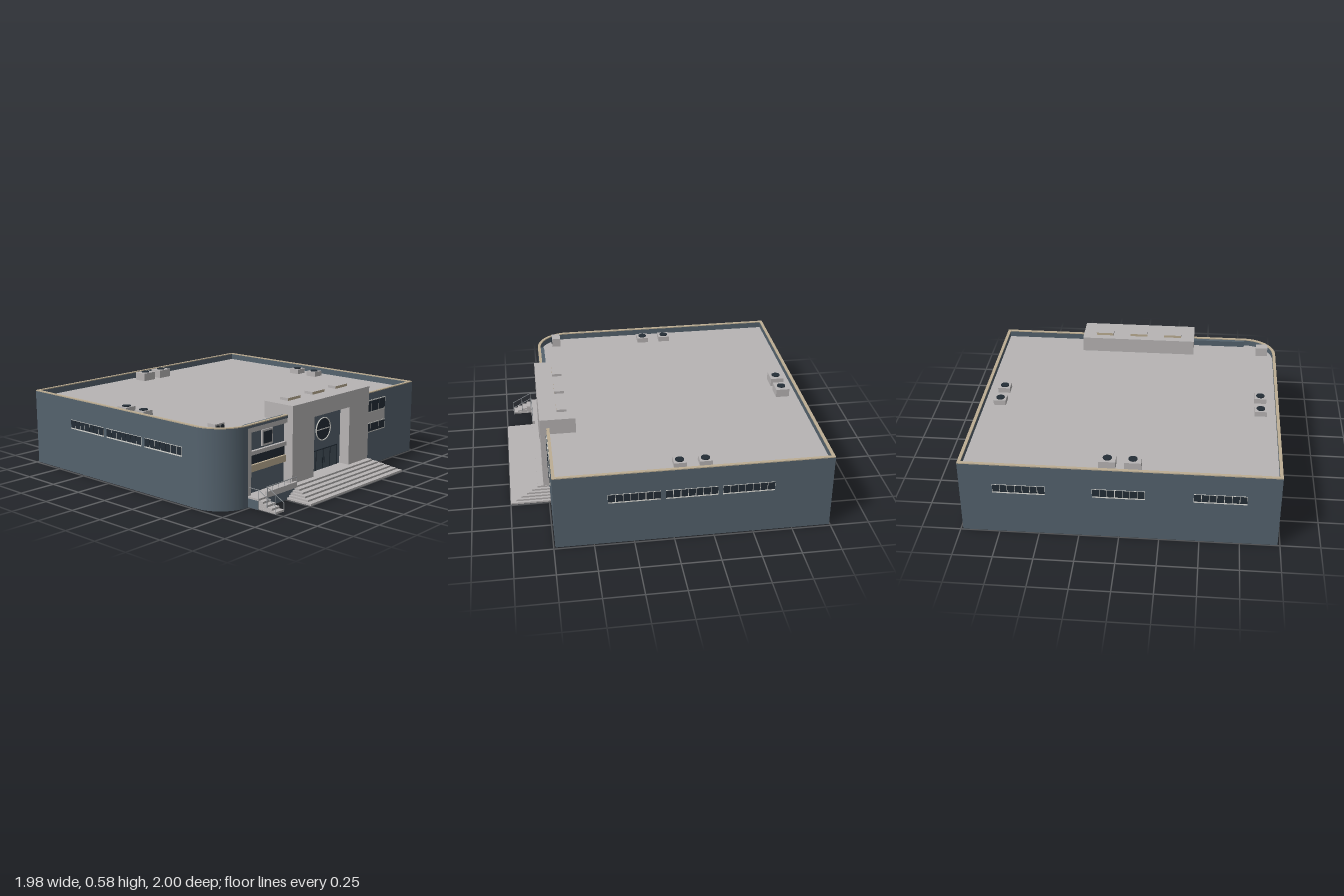
import * as THREE from 'three';
import { toCreasedNormals } from 'three/addons/utils/BufferGeometryUtils.js';

const mat = (name, color) => {
  const m = new THREE.MeshStandardMaterial({ color });
  m.name = name;
  return m;
};

export function createModel() {
  const wall = mat('slate wall', 0x54626d);
  const stone = mat('grey stone', 0xb7b4b4);
  const tan = mat('tan trim', 0xbcad93);
  const glass = mat('dark glass', 0x232d36);
  const frame = mat('pale frame', 0xd3d3ce);
  const doorMat = mat('door panel', 0x46535e);
  const metal = mat('rail metal', 0x8c9094);

  const model = new THREE.Group();
  model.name = 'civicBuilding';

  const add = (name, geo, m, parent = model) => {
    const mesh = new THREE.Mesh(geo, m);
    mesh.name = name;
    parent.add(mesh);
    return mesh;
  };
  // Box given by its min and max corners
  const box = (name, m, x0, x1, y0, y1, z0, z1, parent = model) => {
    const mesh = add(name, new THREE.BoxGeometry(x1 - x0, y1 - y0, z1 - z0), m, parent);
    mesh.position.set((x0 + x1) / 2, (y0 + y1) / 2, (z0 + z1) / 2);
    return mesh;
  };
  const bar = (name, m, a, b, r, parent = model) => {
    const p = new THREE.Vector3(...a), d = new THREE.Vector3(...b).sub(p);
    const mesh = add(name, new THREE.CylinderGeometry(r, r, d.length(), 6), m, parent);
    mesh.position.copy(p).addScaledVector(d, 0.5);
    mesh.quaternion.setFromUnitVectors(new THREE.Vector3(0, 1, 0), d.normalize());
    return mesh;
  };
  const extrudeUp = (shape, y0, y1) => {
    const g = new THREE.ExtrudeGeometry(shape, { depth: y1 - y0, bevelEnabled: false, curveSegments: 20 });
    g.rotateX(-Math.PI / 2).translate(0, y0, 0);
    return toCreasedNormals(g, 0.4);
  };

  // Outer walls: a plan band with one rounded front corner (shape y = -z)
  const X = 0.985, F = 0.74, B = 0.995, R = 0.22, cx = -X + R, cy = -F + R;
  const outline = (s, t, start) => {
    s.moveTo(start, -F + t);
    s.lineTo(X - t, -F + t);
    s.lineTo(X - t, B - t);
    s.lineTo(-X + t, B - t);
    s.lineTo(-X + t, cy);
    s.absarc(cx, cy, R - t, Math.PI, Math.PI * 1.5, false);
    return s;
  };
  const band = (t) => {
    const s = outline(new THREE.Shape(), 0, 0.39);
    s.lineTo(cx, -F + t);
    s.absarc(cx, cy, R - t, Math.PI * 1.5, Math.PI, true);
    s.lineTo(-X + t, B - t);
    s.lineTo(X - t, B - t);
    s.lineTo(X - t, -F + t);
    s.lineTo(0.39, -F + t);
    return s;
  };
  add('outerWalls', extrudeUp(band(0.018), 0, 0.5), wall);
  add('parapetCap', extrudeUp(band(0.02), 0.5, 0.506), tan);
  add('roof', extrudeUp(outline(new THREE.Shape(), 0.015, 0.39), 0.45, 0.46), stone);

  // Strip windows on the sides and the back, with inner boxes behind them
  const stripWindow = (x, z, turn) => {
    const g = new THREE.Group();
    g.name = 'stripWindow';
    const w = 0.325, n = 7, pitch = w / n;
    box('windowFrame', frame, -w / 2, w / 2, -0.03, 0.03, -0.004, 0.002, g);
    for (let i = 0; i < n; i++) {
      const a = -w / 2 + i * pitch;
      box('pane', glass, a + 0.002, a + pitch - 0.002, -0.023, 0.027, -0.002, 0.004, g);
    }
    box('sill', frame, -w / 2, w / 2, -0.031, -0.025, 0, 0.005, g);
    box('innerBox', stone, -w / 2 + 0.003, w / 2 - 0.003, -0.07, 0.06, -0.1, -0.012, g);
    g.position.set(x, 0.33, z);
    g.rotation.y = turn;
    model.add(g);
  };
  for (const z of [0.247, -0.107, -0.462]) {
    stripWindow(X, z, Math.PI / 2);
    stripWindow(-X, z, -Math.PI / 2);
  }
  for (const x of [-0.62, 0, 0.615]) stripWindow(x, -B, Math.PI);

  // Entrance block with its recessed opening
  const portal = new THREE.Group();
  portal.name = 'entranceBlock';
  model.add(portal);
  for (const s of [-1, 1]) {
    box('pillar', stone, s < 0 ? -0.4 : 0.185, s < 0 ? -0.185 : 0.4, 0, 0.46, 0.66, 0.78, portal);
  }
  box('entranceTop', stone, -0.4, 0.4, 0.46, 0.565, 0.55, 0.78, portal);
  box('entranceWall', wall, -0.185, 0.185, 0, 0.46, 0.68, 0.705, portal);
  for (const x of [-0.245, 0, 0.245]) {
    box('skylight', [stone, stone, stone, stone, tan, tan], x - 0.062, x + 0.062, 0.565, 0.582, 0.6, 0.665, portal);
  }

  // Doors
  box('doors', doorMat, -0.148, 0.148, 0.07, 0.205, 0.703, 0.708, portal);
  for (const x of [-0.148, -0.074, 0, 0.074, 0.148]) {
    box('doorPost', glass, x - 0.003, x + 0.003, 0.07, 0.205, 0.704, 0.711, portal);
  }
  box('doorHead', glass, -0.15, 0.15, 0.201, 0.207, 0.704, 0.711, portal);
  for (const x of [-0.01, 0.01]) box('doorHandle', glass, x - 0.002, x + 0.002, 0.11, 0.15, 0.707, 0.714, portal);

  // Round window
  const disc = add('roundGlass', new THREE.CylinderGeometry(0.073, 0.073, 0.006, 40), glass, portal);
  disc.rotation.x = Math.PI / 2;
  disc.position.set(0, 0.337, 0.706);
  add('roundFrame', new THREE.TorusGeometry(0.074, 0.004, 6, 40), frame, portal).position.set(0, 0.337, 0.709);
  box('roundBar', frame, -0.073, 0.073, 0.334, 0.34, 0.706, 0.711, portal);

  // Main stair, narrowing as it rises
  const steps = 6;
  for (let i = 0; i < steps; i++) {
    const w = 0.492 - i * 0.018, h = 0.07 / steps;
    box('mainStep', stone, -w, w, i * h, (i + 1) * h, 0.69, 1 - i * 0.036);
  }

  // Front windows beside the entrance
  const bay = new THREE.Group();
  bay.name = 'frontWindows';
  model.add(bay);
  box('bayPanel', stone, 0.39, 0.648, 0.228, 0.452, 0.735, 0.742, bay);
  for (const [y0, y1] of [[0.375, 0.447], [0.237, 0.29]]) {
    box('bayFrame', frame, 0.39, 0.648, y0 - 0.006, y1 + 0.006, 0.739, 0.744, bay);
    for (const [x0, x1] of [[0.39, 0.478], [0.484, 0.567], [0.573, 0.641]]) {
      box('bayPane', glass, x0, x1, y0, y1, 0.74, 0.746, bay);
    }
  }
  box('innerBox', stone, 0.4, 0.64, 0.2, 0.44, 0.64, 0.73, bay);

  // Recessed front section with a stone surround
  const rec = new THREE.Group();
  rec.name = 'recessedFront';
  model.add(rec);
  box('recessWall', wall, -0.765, -0.39, 0, 0.5, 0.695, 0.71, rec);
  box('lintel', wall, -0.77, -0.39, 0.485, 0.5, 0.705, F, rec);
  box('lintelCap', tan, -0.77, -0.39, 0.5, 0.506, 0.72, F, rec);
  box('surroundTop', stone, -0.76, -0.39, 0.457, 0.485, 0.705, 0.738, rec);
  box('surroundSide', stone, -0.764, -0.735, 0.07, 0.485, 0.705, 0.738, rec);
  box('bandTop', stone, -0.735, -0.39, 0.31, 0.335, 0.705, 0.73, rec);
  box('bandGlass', glass, -0.735, -0.39, 0.25, 0.31, 0.705, 0.715, rec);
  box('bandSill', tan, -0.735, -0.39, 0.207, 0.25, 0.705, 0.73, rec);
  box('squareFrame', stone, -0.617, -0.517, 0.347, 0.446, 0.705, 0.722, rec);
  box('squareGlass', glass, -0.605, -0.529, 0.36, 0.434, 0.72, 0.725, rec);

  // Terrace, its small stair and railings
  const terrace = new THREE.Group();
  terrace.name = 'terrace';
  model.add(terrace);
  box('terraceBase', wall, -0.76, -0.39, 0, 0.058, 0.705, 0.815, terrace);
  box('terraceFloor', stone, -0.765, -0.39, 0.058, 0.07, 0.705, 0.82, terrace);
  box('terraceCurb', stone, -0.68, -0.4, 0.07, 0.095, 0.8, 0.82, terrace);
  for (let i = 0; i < 4; i++) {
    box('sideStep', stone, -0.757, -0.685, 0.045 - i * 0.014, 0.058 - i * 0.014, 0.815, 0.852 + i * 0.033, terrace);
  }
  for (const x of [-0.761, -0.682]) {
    bar('stairRail', metal, [x, 0.055, 0.95], [x, 0.125, 0.82], 0.0025, terrace);
    for (const [z, y0, y1] of [[0.948, 0, 0.056], [0.885, 0.03, 0.09], [0.82, 0.06, 0.125]]) {
      bar('stairPost', metal, [x, y0, z], [x, y1, z], 0.0025, terrace);
    }
  }
  bar('terraceRail', metal, [-0.682, 0.125, 0.815], [-0.4, 0.125, 0.815], 0.0025, terrace);
  for (let i = 1; i <= 5; i++) {
    const x = -0.682 + i * 0.056;
    bar('terracePost', metal, [x, 0.07, 0.815], [x, 0.125, 0.815], 0.002, terrace);
  }
  bar('terraceEndRail', metal, [-0.761, 0.125, 0.82], [-0.761, 0.125, 0.745], 0.0025, terrace);

  // Rooftop fan units
  const fanUnit = (x, z, w, d, top) => {
    box('fanUnit', stone, x - w / 2, x + w / 2, 0.46, top, z - d / 2, z + d / 2);
    add('fan', new THREE.CylinderGeometry(0.028, 0.028, 0.006, 20), glass).position.set(x, top + 0.002, z);
  };
  for (const x of [-0.08, 0.077]) fanUnit(x, -0.88, 0.105, 0.09, 0.515);
  for (const x of [-0.868, 0.865]) for (const z of [-0.207, -0.047]) fanUnit(x, z, 0.08, 0.08, 0.495);

  // Corner unit with front fans
  box('cornerUnit', stone, -0.93, -0.85, 0.46, 0.522, 0.57, 0.63);
  for (const x of [-0.91, -0.87]) {
    const fan = add('cornerFan', new THREE.CylinderGeometry(0.017, 0.017, 0.006, 16), glass);
    fan.rotation.x = Math.PI / 2;
    fan.position.set(x, 0.498, 0.631);
  }
  return model;
}
